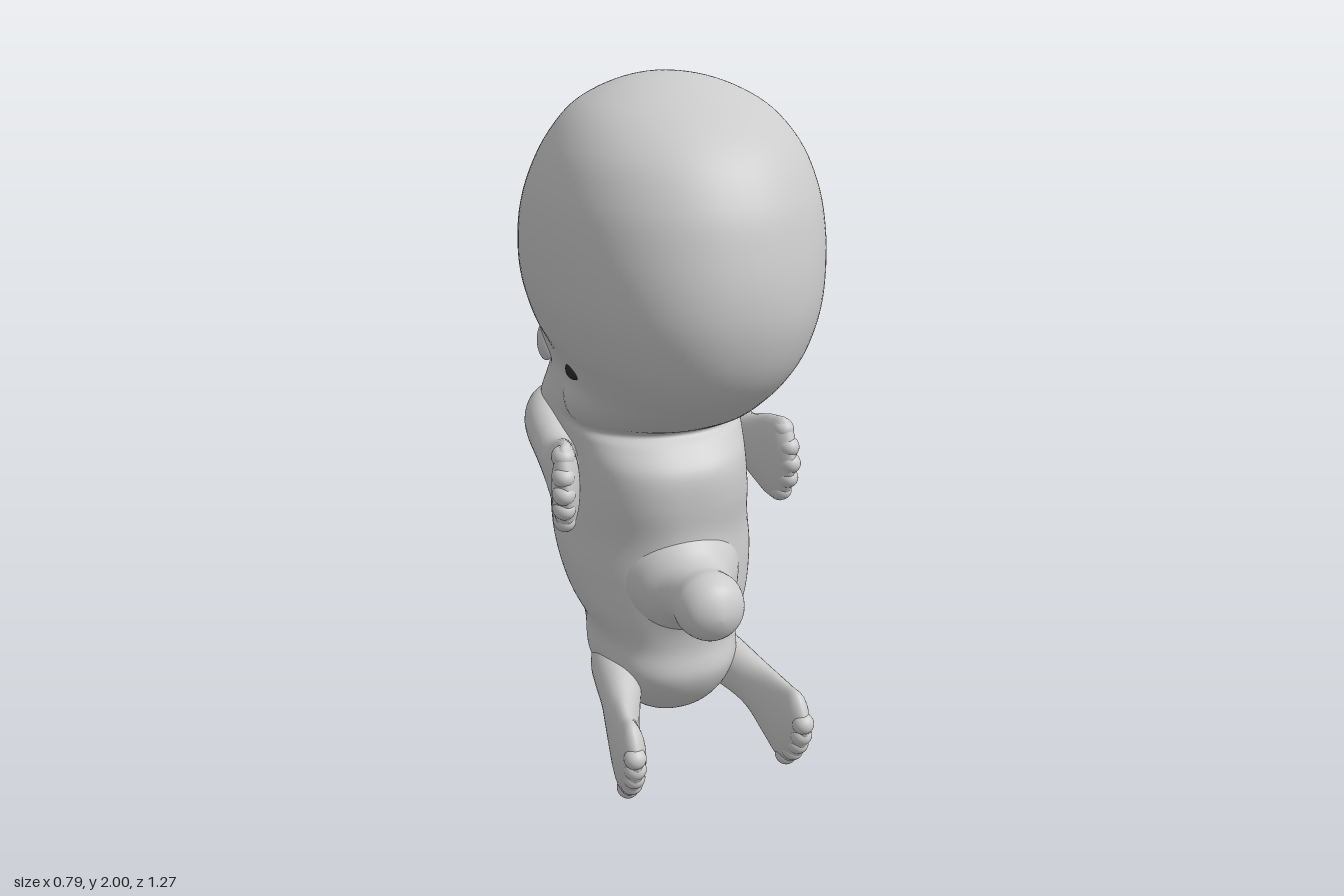
import * as THREE from 'three';

const grey = new THREE.MeshStandardMaterial({ color: 0xcccccc });
const dark = new THREE.MeshStandardMaterial({ color: 0x2a2a2a });

// Smooth skin over elliptical rings. Station: [x, y, z, radiusX, radiusB, squareness].
// Rings lie flat (axis 'y') or upright facing z (axis 'z'); zero radii close an end roundly.
function loft(stations, axis, egg = 0, around = 48, steps = 6) {
  const s = stations.map(a => (a.length < 6 ? [...a, 1] : a));
  const n = s.length;
  const beyond = (end, next) => end[3] === 0
    ? [next[0], next[1], next[2], -next[3], -next[4], next[5]]
    : end;
  const p = [beyond(s[0], s[1]), ...s, beyond(s[n - 1], s[n - 2])];
  const mix = (a, b, c, d, t) => 0.5 * (2 * b + (c - a) * t +
    (2 * a - 5 * b + 4 * c - d) * t * t + (3 * b - a - 3 * c + d) * t * t * t);
  const pos = [], index = [];
  const rows = (n - 1) * steps;
  const bend = (v, e) => Math.sign(v) * Math.pow(Math.abs(v), e);
  for (let r = 0; r <= rows; r++) {
    const i = Math.min(Math.floor(r / steps), n - 2);
    const t = r / steps - i;
    const [x, y, z, ra, rb, e] = s[0].map((_, k) => mix(p[i][k], p[i + 1][k], p[i + 2][k], p[i + 3][k], t));
    for (let j = 0; j < around; j++) {
      const a = (j / around) * Math.PI * 2;
      const c = bend(Math.cos(a), e), d = bend(Math.sin(a), e);
      if (axis === 'y') pos.push(x + ra * d * (1 + egg * c), y, z + rb * c);
      else pos.push(x + ra * c, y + rb * d, z);
    }
  }
  for (let r = 0; r < rows; r++) {
    for (let j = 0; j < around; j++) {
      const a = r * around + j, b = r * around + (j + 1) % around;
      index.push(a, b, b + around, a, b + around, a + around);
    }
  }
  const g = new THREE.BufferGeometry();
  g.setAttribute('position', new THREE.Float32BufferAttribute(pos, 3));
  g.setIndex(index);
  g.computeVertexNormals();
  return g;
}

// Push skin softly around a centre along a vector
function swell(geometry, centre, push, radius) {
  const c = new THREE.Vector3(...centre), d = new THREE.Vector3(...push);
  const p = geometry.attributes.position, v = new THREE.Vector3();
  for (let i = 0; i < p.count; i++) {
    v.fromBufferAttribute(p, i);
    v.addScaledVector(d, Math.exp(-v.distanceToSquared(c) / (radius * radius)));
    p.setXYZ(i, v.x, v.y, v.z);
  }
}

function add(parent, name, geometry, material = grey) {
  const mesh = new THREE.Mesh(geometry, material);
  mesh.name = name;
  parent.add(mesh);
  return mesh;
}

function blob(parent, name, position, scale, material = grey) {
  const mesh = add(parent, name, new THREE.SphereGeometry(1, 24, 16), material);
  mesh.position.set(...position);
  mesh.scale.set(...scale);
  return mesh;
}

export function createModel() {
  const model = new THREE.Group();
  model.name = 'embryo';

  // Body and head in one skin: [height, front z, back z, half width, squareness]
  const profile = [
    [0.07, 0.11, 0.11, 0, 1],
    [0.10, 0.20, 0.00, 0.105, 1],
    [0.17, 0.27, -0.10, 0.165, 0.95],
    [0.26, 0.31, -0.22, 0.205, 0.9],
    [0.35, 0.29, -0.325, 0.22, 0.9],
    [0.45, 0.275, -0.39, 0.268, 0.9],
    [0.57, 0.265, -0.47, 0.29, 0.9],
    [0.68, 0.265, -0.535, 0.283, 0.88],
    [0.80, 0.285, -0.55, 0.27, 0.85],
    [0.90, 0.275, -0.555, 0.262, 0.84],
    [0.965, 0.22, -0.565, 0.268, 0.86],
    [1.0, 0.19, -0.57, 0.272, 0.9],
    [1.04, 0.28, -0.572, 0.277, 0.94],
    [1.09, 0.38, -0.567, 0.278, 0.95],
    [1.15, 0.475, -0.567, 0.282, 0.95],
    [1.22, 0.56, -0.59, 0.308, 0.95],
    [1.30, 0.61, -0.622, 0.348, 0.94],
    [1.40, 0.635, -0.635, 0.378, 0.93],
    [1.50, 0.634, -0.61, 0.39, 0.93],
    [1.61, 0.61, -0.545, 0.389, 0.93],
    [1.72, 0.57, -0.45, 0.37, 0.94],
    [1.83, 0.495, -0.335, 0.325, 0.95],
    [1.92, 0.375, -0.215, 0.25, 0.97],
    [1.98, 0.23, -0.07, 0.13, 1],
    [2.0, 0.08, 0.08, 0, 1],
  ];
  const skin = loft(profile.map(([y, f, b, w, e]) =>
    [0, y, (f + b) / 2, w, (f - b) / 2, e]), 'y', 0.09, 128);
  swell(skin, [0, 0.56, 0.27], [0, 0, 0.06], 0.14);
  for (const side of [1, -1]) {
    swell(skin, [side * 0.26, 0.9, -0.33], [side * 0.035, 0, 0], 0.13); // shoulder
    swell(skin, [side * 0.18, 0.21, -0.02], [side * 0.035, -0.01, 0], 0.11); // hip
    swell(skin, [side * 0.26, 1.08, 0.06], [side * 0.025, 0, 0], 0.075); // cheek
    swell(skin, [side * 0.28, 1.19, -0.205], [side * 0.015, 0, 0], 0.06); // ear base
  }
  skin.computeVertexNormals();
  add(model, 'bodyAndHead', skin);

  // Cord stump rising from the belly
  add(model, 'cordStump', loft([
    [0, 0.56, 0.22, 0.18, 0.18], [0, 0.56, 0.28, 0.15, 0.15],
    [0, 0.56, 0.33, 0.112, 0.112], [0, 0.565, 0.38, 0.097, 0.097],
    [0, 0.57, 0.44, 0.1, 0.1], [0, 0.57, 0.50, 0.073, 0.073],
    [0, 0.57, 0.53, 0, 0],
  ], 'z'));

  for (const [side, label] of [[1, 'left'], [-1, 'right']]) {
    const limb = st => loft(st.map(([x, ...rest]) => [x * side, ...rest]), 'z', 0, 32);

    // Arm with flat paddle hand
    const arm = new THREE.Group();
    arm.name = label + 'Arm';
    model.add(arm);
    add(arm, 'armAndHand', limb([
      [0.19, 0.90, -0.46, 0, 0], [0.20, 0.90, -0.43, 0.075, 0.075],
      [0.232, 0.90, -0.35, 0.088, 0.1], [0.262, 0.90, -0.25, 0.08, 0.09],
      [0.285, 0.885, -0.12, 0.066, 0.077], [0.30, 0.875, -0.02, 0.058, 0.079],
      [0.315, 0.865, 0.07, 0.047, 0.115], [0.325, 0.863, 0.13, 0.043, 0.132],
      [0.338, 0.865, 0.18, 0.038, 0.122], [0.343, 0.865, 0.222, 0, 0],
    ]));
    for (let i = 0; i < 5; i++) {
      const u = (i - 2) / 2;
      blob(arm, 'finger', [side * (0.348 - 0.01 * u * u), 0.862 + u * 0.098, 0.19 - 0.035 * u * u],
        [0.033, 0.032, 0.04]);
    }

    // Leg with broad foot
    const leg = new THREE.Group();
    leg.name = label + 'Leg';
    model.add(leg);
    add(leg, 'legAndFoot', limb([
      [0.10, 0.21, -0.10, 0, 0], [0.11, 0.21, -0.06, 0.075, 0.07],
      [0.14, 0.205, 0.02, 0.088, 0.09], [0.172, 0.205, 0.13, 0.077, 0.08],
      [0.20, 0.20, 0.24, 0.063, 0.077], [0.22, 0.185, 0.31, 0.055, 0.086],
      [0.237, 0.155, 0.38, 0.048, 0.115], [0.248, 0.138, 0.44, 0.043, 0.13],
      [0.253, 0.162, 0.51, 0.038, 0.104], [0.256, 0.17, 0.562, 0, 0],
    ]));
    for (let i = 0; i < 5; i++) {
      const u = i / 4;
      blob(leg, 'toe', [side * (0.257 - 0.008 * u), 0.19 - 0.158 * u, 0.535 - 0.09 * u * u],
        [0.032, 0.031, 0.033]);
    }

    // Eye and ear bud
    blob(model, label + 'Eye', [side * 0.284, 1.2, 0.11], [0.027, 0.029, 0.046], dark)
      .rotation.y = side * 0.15;
    blob(model, label + 'Ear', [side * 0.283, 1.19, -0.205], [0.026, 0.06, 0.038]);
  }
  return model;
}
